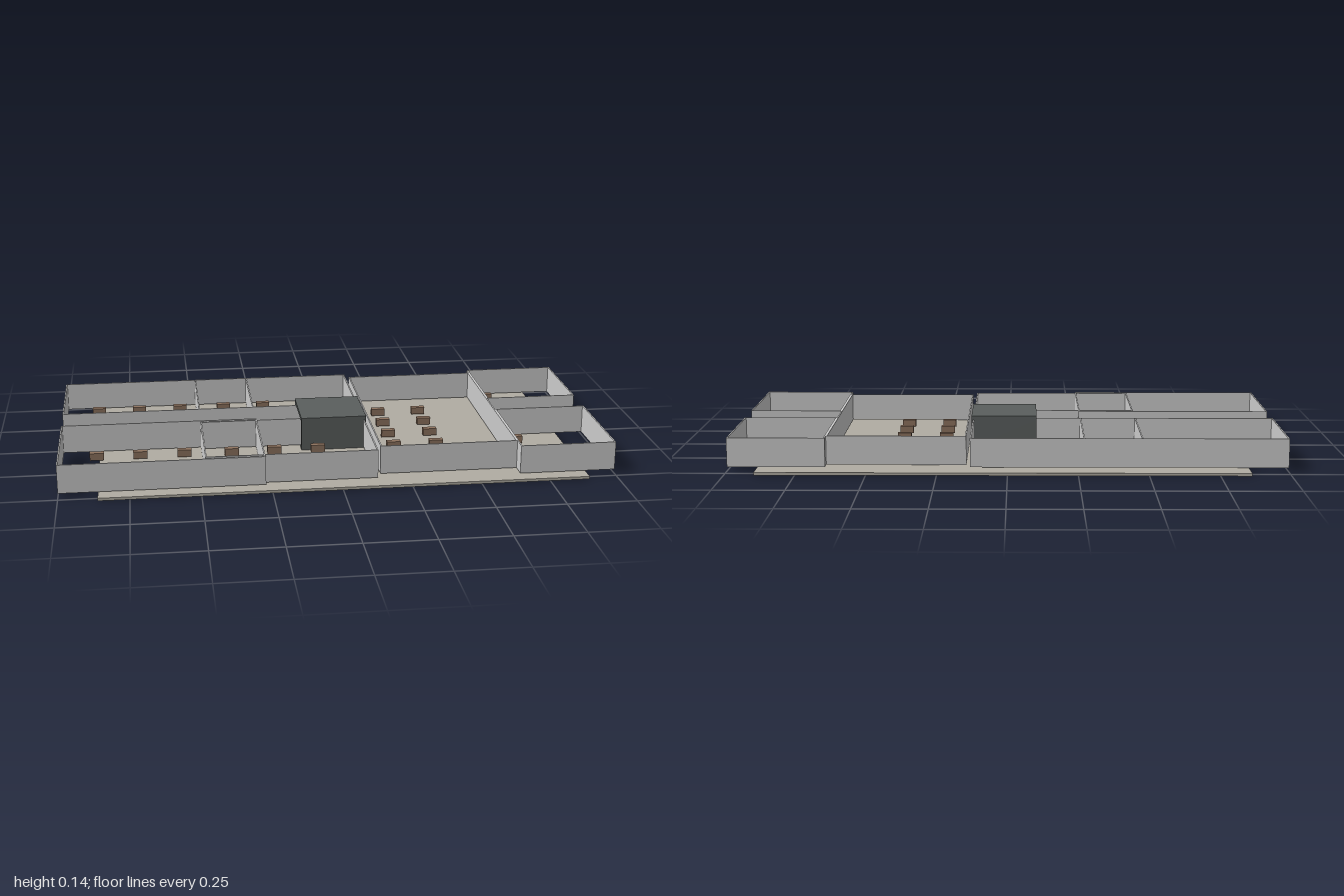
import * as THREE from 'three';

const material = (color) => new THREE.MeshStandardMaterial({ color, flatShading: true });
const wallMat = material(0xcccccc);
const floorMat = material(0xb0aca2);
const coreMat = material(0x5a5f5e);
const deskMat = material(0x8e735f);

// Box given by its extents along each axis
function block(parent, name, mat, [x0, x1], [y0, y1], [z0, z1]) {
  const mesh = new THREE.Mesh(new THREE.BoxGeometry(x1 - x0, y1 - y0, z1 - z0), mat);
  mesh.position.set((x0 + x1) / 2, (y0 + y1) / 2, (z0 + z1) / 2);
  mesh.name = name;
  parent.add(mesh);
}

// Open room: four thin walls and a grid of desks
function room(name, [x0, x1], [z0, z1], deskXs, deskZs) {
  const group = new THREE.Group();
  group.name = name;
  const t = 0.005, y = [0.016, 0.121];
  block(group, 'backWall', wallMat, [x0, x1], y, [z0, z0 + t]);
  block(group, 'frontWall', wallMat, [x0, x1], y, [z1 - t, z1]);
  block(group, 'rightWall', wallMat, [x0, x0 + t], y, [z0 + t, z1 - t]);
  block(group, 'leftWall', wallMat, [x1 - t, x1], y, [z0 + t, z1 - t]);
  for (const x of deskXs) for (const z of deskZs) {
    block(group, 'desk', deskMat, [x - 0.026, x + 0.026], [0.016, 0.043], [z - 0.012, z + 0.012]);
  }
  return group;
}

export function createModel() {
  const model = new THREE.Group();
  model.name = 'floorPlan';

  // Ground slab
  block(model, 'floorSlab', floorMat, [-0.861, 0.895], [0, 0.01], [-0.528, 0.524]);

  // Rooms
  const outer = [-0.87, -0.71, -0.547], inner = [-0.372, -0.212, -0.049];
  model.add(
    room('backOuterRoom', [-1, -0.27], [-0.464, -0.08], outer, [-0.38, -0.25]),
    room('backInnerRoom', [-0.482, 0.134], [-0.464, -0.08], inner, [-0.38, -0.25]),
    room('frontOuterRoom', [-1, -0.27], [0.055, 0.478], outer, [0.147, 0.277]),
    room('frontInnerRoom', [-0.482, 0.134], [0.074, 0.458], inner, [0.155, 0.285]),
    room('hall', [0.148, 0.65], [-0.426, 0.42], [0.24, 0.402], [-0.24, -0.11, 0.02, 0.152, 0.284]),
    room('backEndRoom', [0.65, 1], [-0.464, -0.08], [0.71], [-0.38, -0.25]),
    room('frontEndRoom', [0.65, 1], [0.055, 0.478], [0.71], [0.147, 0.277]),
  );

  // Central core: base, roof and three walls, open toward the corridor
  const core = new THREE.Group();
  core.name = 'core';
  const cx = [-0.106, 0.139], cz = [-0.122, 0.122], t = 0.02, y = [0.017, 0.121];
  block(core, 'coreBase', coreMat, cx, [0.01, 0.017], cz);
  block(core, 'coreRoof', coreMat, cx, [0.121, 0.136], cz);
  block(core, 'coreBackWall', coreMat, cx, y, [cz[0], cz[0] + t]);
  block(core, 'coreFrontWall', coreMat, cx, y, [cz[1] - t, cz[1]]);
  block(core, 'coreEndWall', coreMat, [cx[1] - t, cx[1]], y, [cz[0] + t, cz[1] - t]);
  model.add(core);

  return model;
}
